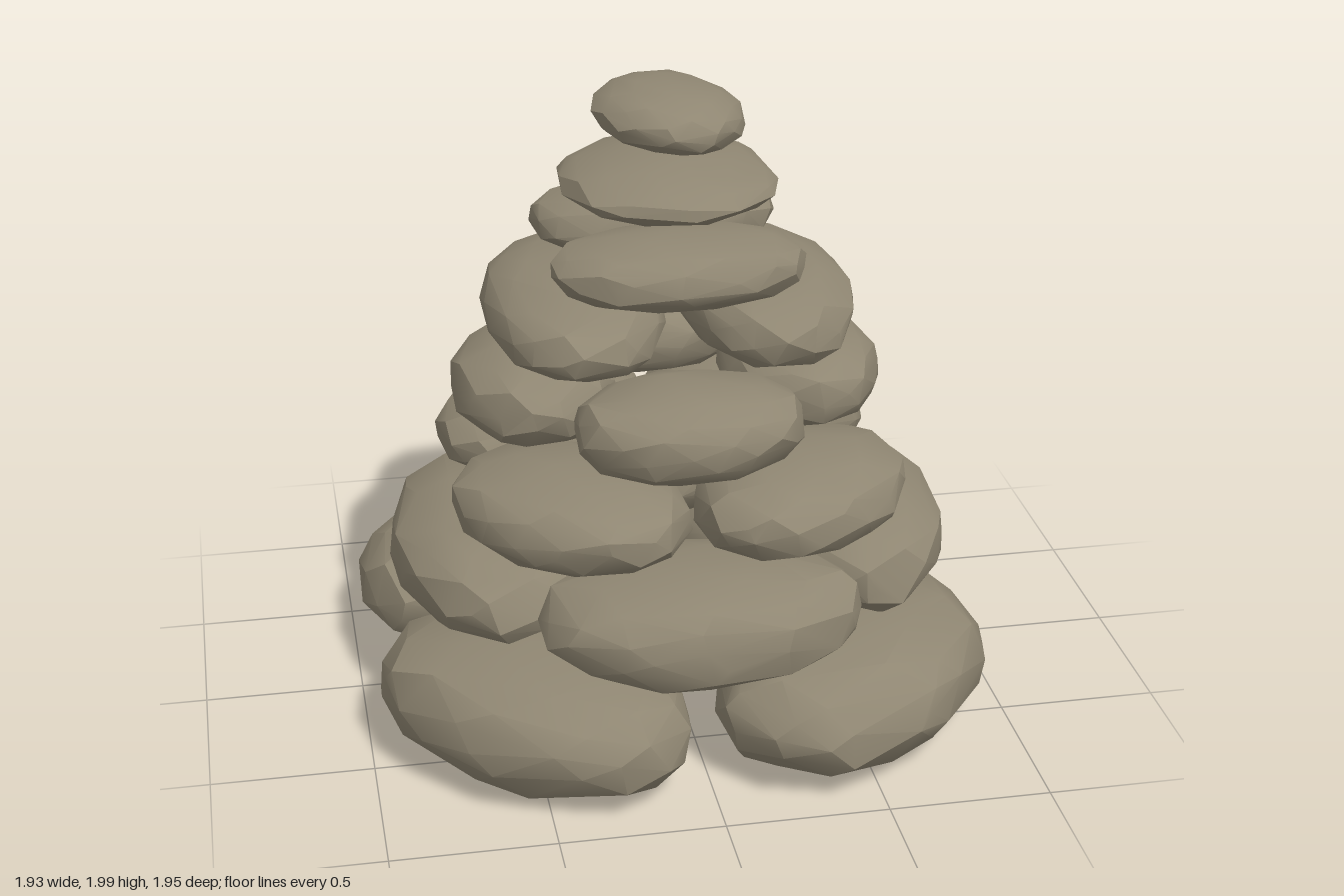
import * as THREE from 'three';
import { toCreasedNormals } from 'three/addons/utils/BufferGeometryUtils.js';
import { ConvexGeometry } from 'three/addons/geometries/ConvexGeometry.js';

// Small seeded random generator
function seeded(seed) {
  let s = seed * 7919 + 17;
  return () => (s = (s * 16807) % 2147483647) / 2147483647;
}

// Worn stone: hull of jittered points on a squashed superellipsoid,
// stretched to exactly fill 2a x h x 2b
function stoneGeometry(a, h, b, seed, power = 2.6) {
  const rand = seeded(seed);
  for (let i = 0; i < 5; i++) rand();
  const count = 75, points = [], spin = rand() * 6.28;
  for (let i = 0; i < count; i++) {
    const y = 1 - (2 * (i + 0.5)) / count + (rand() - 0.5) * 0.08;
    const angle = i * 2.39996 + spin + (rand() - 0.5) * 0.35;
    const r = Math.sqrt(Math.max(0, 1 - y * y));
    const p = new THREE.Vector3(Math.cos(angle) * r, y, Math.sin(angle) * r);
    const plan = Math.hypot(p.x, p.z);
    const size = Math.pow(Math.pow(plan, power) + Math.pow(Math.abs(p.y), power), -1 / power);
    points.push(p.multiplyScalar(size * (0.97 + rand() * 0.05)));
  }
  const box = new THREE.Box3().setFromPoints(points);
  const mid = box.getCenter(new THREE.Vector3());
  const size = box.getSize(new THREE.Vector3());
  const scale = new THREE.Vector3(2 * a, h, 2 * b).divide(size);
  points.forEach((p) => p.sub(mid).multiply(scale));
  return toCreasedNormals(new ConvexGeometry(points), 0.5);
}

export function createModel() {
  const group = new THREE.Group();
  group.name = 'stoneCairn';
  const stoneMaterial = new THREE.MeshStandardMaterial({ color: 0x8f8672 });
  stoneMaterial.name = 'weathered stone';
  let seed = 1;

  // Stone at a distance from the axis, its long side running around the pile
  function addStone(name, angle, dist, a, b, y0, y1, power) {
    const mesh = new THREE.Mesh(stoneGeometry(a, y1 - y0, b, seed++, power), stoneMaterial);
    mesh.name = name;
    mesh.position.set(Math.sin(angle) * dist, (y0 + y1) / 2, Math.cos(angle) * dist);
    mesh.rotation.y = angle;
    group.add(mesh);
    return mesh;
  }

  const quarter = Math.PI / 2;

  // Rings of four, alternately on the diagonals and on the axes
  const rings = [
    { name: 'baseStone', turn: 0.5, dist: 0.715, a: 0.55, b: 0.36, y0: 0.0, y1: 0.4 },
    { name: 'secondTierStone', turn: 0, dist: 0.57, a: 0.5, b: 0.32, y0: 0.32, y1: 0.66 },
    { name: 'thirdTierStone', turn: 0.5, dist: 0.505, a: 0.405, b: 0.295, y0: 0.63, y1: 0.91 },
    { name: 'fourthTierStone', turn: 0, dist: 0.42, a: 0.355, b: 0.25, y0: 0.9, y1: 1.18 },
  ];
  for (const r of rings) {
    for (let i = 0; i < 4; i++) {
      // The side stones of the second tier are a little longer
      const long = r.name === 'secondTierStone' && i % 2 ? 0.05 : 0;
      addStone(r.name, (i + r.turn) * quarter, r.dist, r.a + long - (long ? 0 : 0.01), r.b, r.y0, r.y1);
    }
  }

  // Upper pairs, crossing each other
  for (const i of [0, 2]) {
    addStone('fifthTierStone', (i + 1) * quarter, 0.295, 0.48, 0.275, 1.16, 1.42);
    addStone('sixthTierStone', i * quarter, 0.235, 0.39, 0.23, 1.38, 1.595);
  }

  // Flat disc stone and the slightly tilted top stone
  addStone('discStone', 0, 0, 0.33, 0.37, 1.59, 1.785, 1.7);
  const top = addStone('topStone', 0, 0, 0.235, 0.265, 1.79, 1.99, 2.2);
  top.rotation.z = -0.1;

  return group;
}
